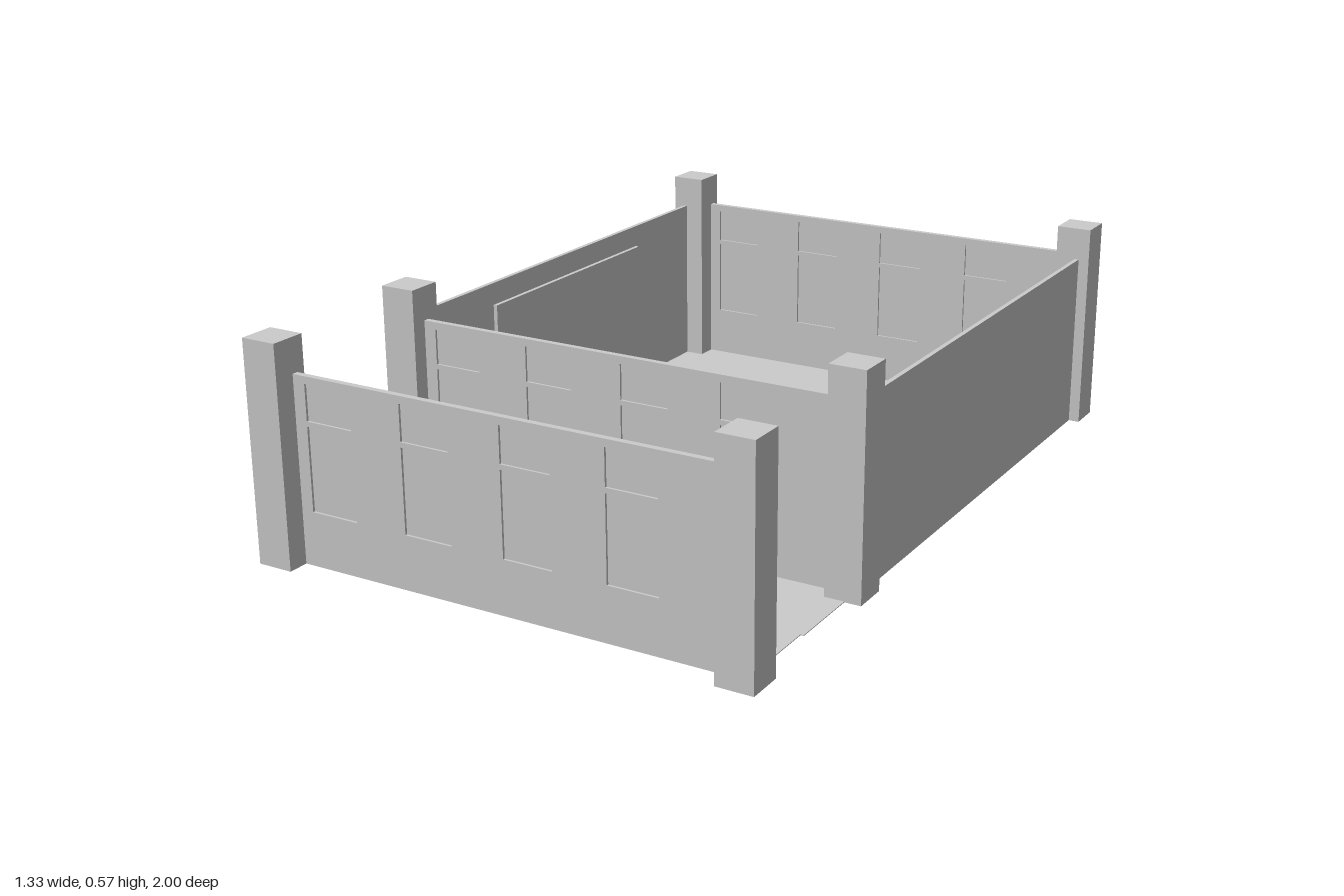
import * as THREE from 'three';

const grey = new THREE.MeshStandardMaterial({ color: 0xcccccc, flatShading: true });
const wood = new THREE.MeshStandardMaterial({ color: 0xd9b27c, flatShading: true });
const glass = new THREE.MeshStandardMaterial({ color: 0xc2c5d2, flatShading: true });

const BASE = 0.007, WALL_TOP = 0.48, PILLAR_TOP = 0.567;

// Box given by its minimum and maximum on each axis
function box(name, [x0, x1], [y0, y1], [z0, z1], material = grey) {
  const mesh = new THREE.Mesh(new THREE.BoxGeometry(x1 - x0, y1 - y0, z1 - z0), material);
  mesh.position.set((x0 + x1) / 2, (y0 + y1) / 2, (z0 + z1) / 2);
  mesh.name = name;
  return mesh;
}

function rectangle(target, x0, x1, y0, y1) {
  target.moveTo(x0, y0);
  target.lineTo(x1, y0);
  target.lineTo(x1, y1);
  target.lineTo(x0, y1);
  target.closePath();
  return target;
}

// Cross wall with two rows of recessed windows, visible from both sides
function windowWall(name, z0, z1) {
  const wall = new THREE.Group();
  wall.name = name;
  const shape = rectangle(new THREE.Shape(), -0.6, 0.6, BASE, WALL_TOP);
  const middle = (z0 + z1) / 2;
  for (let i = 0; i < 4; i++) {
    const x0 = -0.54 + i * 0.272, x1 = x0 + 0.131;
    for (const [y0, y1] of [[0.145, 0.357], [0.37, 0.461]]) {
      shape.holes.push(rectangle(new THREE.Path(), x0, x1, y0, y1));
      wall.add(box('windowPane', [x0, x1], [y0, y1], [middle - 0.002, middle + 0.002]));
    }
  }
  const panel = new THREE.Mesh(
    new THREE.ExtrudeGeometry(shape, { depth: z1 - z0, bevelEnabled: false }), grey);
  panel.position.z = z0;
  panel.name = 'wallPanel';
  wall.add(panel);
  return wall;
}

export function createModel() {
  const model = new THREE.Group();
  model.name = 'walledRoom';

  // Thin floor, a little narrower towards the front
  const half = [[0.635, -0.965], [0.635, 0.41], [0.625, 0.41], [0.625, 0.7], [0.617, 0.7], [0.617, 0.945]];
  const outline = [...half, ...half.map(([x, z]) => [-x, z]).reverse()];
  const floorShape = new THREE.Shape(outline.map(([x, z]) => new THREE.Vector2(x, -z)));
  const floorGeometry = new THREE.ExtrudeGeometry(floorShape, { depth: 0.002, bevelEnabled: false });
  const floor = new THREE.Mesh(floorGeometry.rotateX(-Math.PI / 2), grey);
  floor.position.y = BASE;
  floor.name = 'floor';
  model.add(floor);

  // Pillars and side walls on both sides
  for (const side of [-1, 1]) {
    for (const z of [-0.953, 0.455, 0.953]) {
      model.add(box('pillar', [side * 0.62 - 0.047, side * 0.62 + 0.047],
        [BASE, PILLAR_TOP], [z - 0.047, z + 0.047]));
    }
    model.add(box('sideWall', [side * 0.632 - 0.006, side * 0.632 + 0.006],
      [BASE, WALL_TOP], [-0.92, 0.42]));
  }

  // Cross walls
  model.add(windowWall('frontWall', 0.929, 0.945));
  model.add(windowWall('middleWall', 0.444, 0.46));
  model.add(windowWall('backWall', -0.979, -0.963));

  // Platform with a small wooden box on it
  model.add(box('platform', [0.34, 0.626], [0, 0.068], [-0.7, 0.195]));
  model.add(box('woodenBox', [0.355, 0.43], [0.068, 0.22], [-0.33, -0.175], wood));

  // Panels on the inside of the side walls
  model.add(box('wideGlassPanel', [0.608, 0.627], [0.14, 0.37], [-0.65, 0.14], glass));
  model.add(box('narrowGlassPanel', [0.608, 0.627], [0.14, 0.37], [0.157, 0.37], glass));
  model.add(box('wallBoard', [-0.627, -0.615], [0.22, 0.42], [-0.61, 0.1]));

  // Low fixtures beside the right wall
  model.add(box('largeFixture', [-0.62, -0.53], [BASE, 0.14], [0.068, 0.14]));
  model.add(box('smallFixture', [-0.62, -0.545], [BASE, 0.12], [0.157, 0.235]));

  return model;
}
